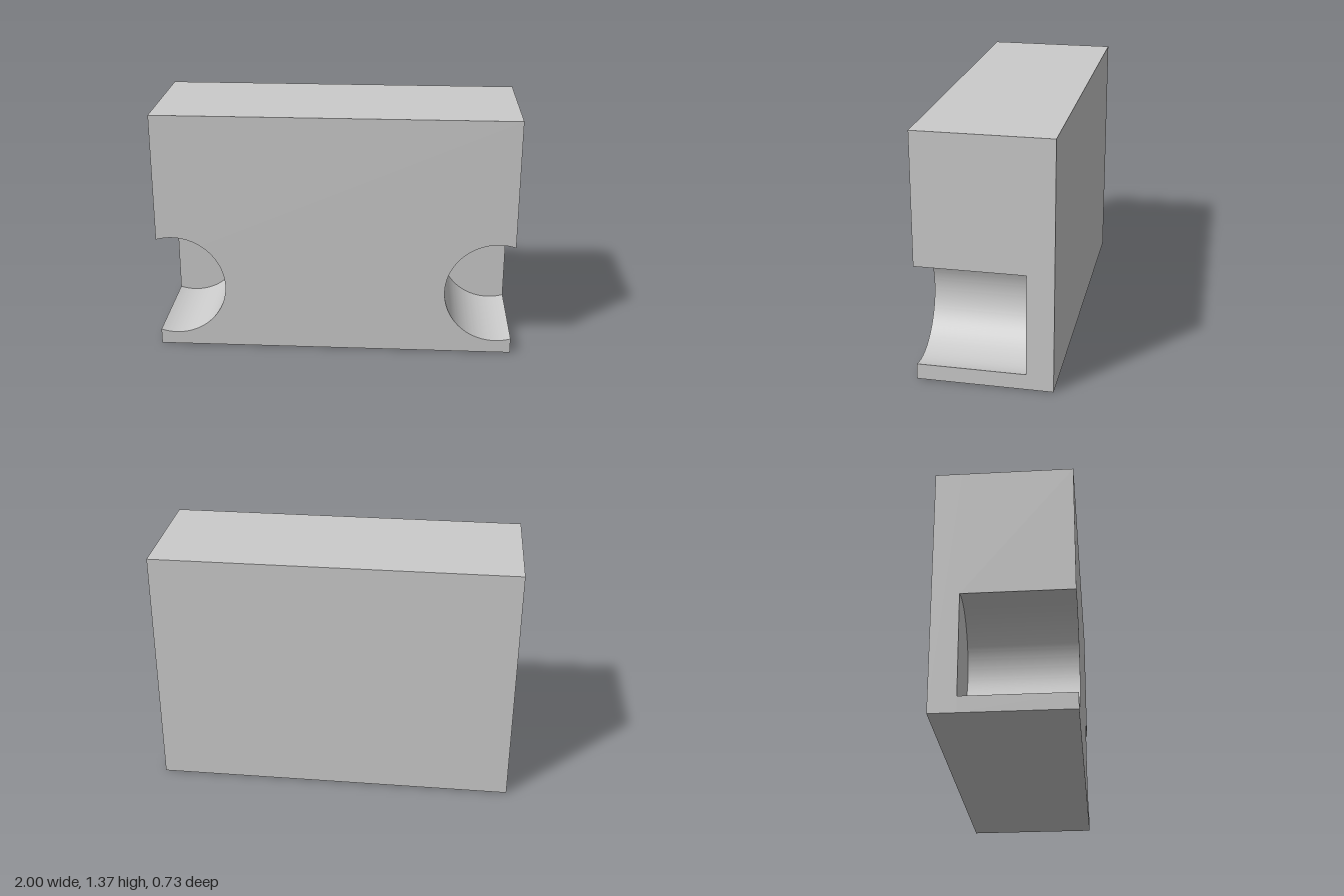
import * as THREE from 'three';
import { toCreasedNormals } from 'three/addons/utils/BufferGeometryUtils.js';

const W = 1, H = 1.365, D = 0.364;         // half width, height, half depth
const CX = 0.911, CY = 0.366, R = 0.293;   // pocket axis and radius
const FLOOR = -0.22;                       // z of the pocket floor
const A = Math.acos((W - CX) / R);         // half angle of the open side

// Removes the triangles lying in the plane z, where two parts join.
function openAt(geometry, z) {
  const g = geometry.index ? geometry.toNonIndexed() : geometry;
  const p = g.attributes.position;
  const kept = [];
  for (let i = 0; i < p.count; i += 3) {
    if ([0, 1, 2].every((k) => Math.abs(p.getZ(i + k) - z) < 1e-5)) continue;
    for (let k = 0; k < 3; k++) kept.push(p.getX(i + k), p.getY(i + k), p.getZ(i + k));
  }
  const out = new THREE.BufferGeometry();
  out.setAttribute('position', new THREE.Float32BufferAttribute(kept, 3));
  out.computeVertexNormals();
  return out;
}

export function createModel() {
  const group = new THREE.Group();
  const material = new THREE.MeshStandardMaterial({ color: 0xcccccc });
  const add = (name, geometry) => {
    const mesh = new THREE.Mesh(geometry, material);
    mesh.name = name;
    group.add(mesh);
  };

  // Front block: rectangle with a round bite out of each side
  const outline = new THREE.Shape();
  outline.moveTo(-W, 0);
  outline.lineTo(W, 0);
  outline.absarc(CX, CY, R, -A, A, true);
  outline.lineTo(W, H);
  outline.lineTo(-W, H);
  outline.absarc(-CX, CY, R, Math.PI - A, A - Math.PI, true);
  outline.closePath();
  const block = new THREE.ExtrudeGeometry(outline, {
    depth: D - FLOOR, bevelEnabled: false, curveSegments: 64,
  });
  block.translate(0, 0, FLOOR);
  add('frontBlock', toCreasedNormals(openAt(block, FLOOR), 0.5));

  // Solid rear wall closing the pockets
  const wall = new THREE.BoxGeometry(2 * W, H, FLOOR + D);
  wall.translate(0, H / 2, (FLOOR - D) / 2);
  add('rearWall', openAt(wall, FLOOR));

  // Flat floors at the end of the two pockets
  for (const side of [1, -1]) {
    const turn = side > 0 ? 0 : Math.PI;
    const segment = new THREE.Shape();
    segment.absarc(side * CX, CY, R, turn + A, turn + 2 * Math.PI - A, false);
    const floor = new THREE.ShapeGeometry(segment, 64);
    floor.translate(0, 0, FLOOR);
    add(side > 0 ? 'leftPocketFloor' : 'rightPocketFloor', floor);
  }

  return group;
}
